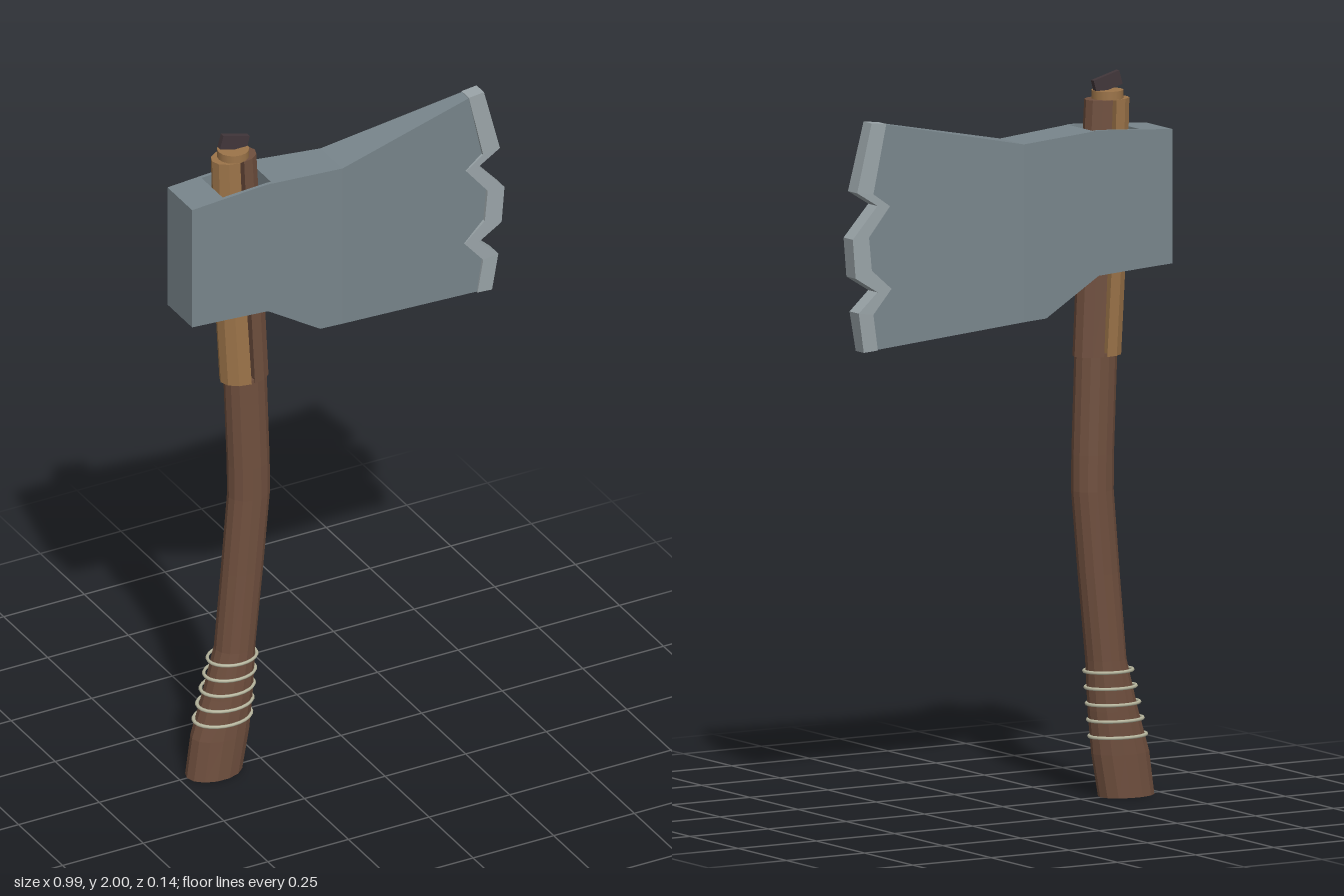
import * as THREE from 'three';

const mat = (name, color) => {
  const m = new THREE.MeshStandardMaterial({ color });
  m.name = name;
  return m;
};

// Closed loft: unit outline in x/z carried through rings [y, centreX, radiusX, radiusZ]
function loft(outline, rings) {
  const pos = [];
  const n = outline.length;
  const at = (r, j) => {
    const [y, cx, rx, rz] = rings[r];
    const p = outline[j % n];
    return [cx + p[0] * rx, y, p[1] * rz];
  };
  const last = rings.length - 1;
  for (let j = 0; j < n; j++) {
    for (let r = 0; r < last; r++) {
      const a = at(r, j), b = at(r, j + 1), c = at(r + 1, j), d = at(r + 1, j + 1);
      pos.push(...a, ...c, ...b, ...b, ...c, ...d);
    }
    if (j > 0 && j < n - 1) {
      pos.push(...at(0, 0), ...at(0, j), ...at(0, j + 1));
      pos.push(...at(last, 0), ...at(last, j + 1), ...at(last, j));
    }
  }
  const g = new THREE.BufferGeometry();
  g.setAttribute('position', new THREE.Float32BufferAttribute(pos, 3));
  g.computeVertexNormals();
  return g;
}

const arc = (from, to, count, closed) => Array.from({ length: count }, (_, i) => {
  const a = from + (to - from) * i / (closed ? count : count - 1);
  return [Math.cos(a), Math.sin(a)];
});

// Flat outline in x/y whose half thickness depends on x and y
function plate(points, half) {
  const shape = new THREE.Shape(points.map(p => new THREE.Vector2(...p)));
  const g = new THREE.ExtrudeGeometry(shape, { depth: 2, bevelEnabled: false });
  g.translate(0, 0, -1);
  const p = g.attributes.position;
  for (let i = 0; i < p.count; i++) p.setZ(i, p.getZ(i) * half(p.getX(i), p.getY(i)));
  g.computeVertexNormals();
  return g;
}

export function createModel() {
  const group = new THREE.Group();
  const darkWood = mat('dark wood', 0x6f4f3e);
  const lightWood = mat('light wood', 0x9c7449);
  const steel = mat('steel', 0x78858b);
  const edgeSteel = mat('sharpened steel', 0x9aa4a8);
  const cord = mat('cord', 0xb9b8a0);
  const iron = mat('dark iron', 0x41363a);
  const add = (name, geometry, material) => {
    const m = new THREE.Mesh(geometry, material);
    m.name = name;
    group.add(m);
    return m;
  };

  // Curved handle
  add('handle', loft(arc(0, Math.PI * 2, 14, true), [
    [0, -0.395, 0.083, 0.058], [0.12, -0.376, 0.086, 0.058], [0.24, -0.352, 0.073, 0.056],
    [0.38, -0.33, 0.058, 0.052], [0.62, -0.307, 0.06, 0.05], [0.85, -0.287, 0.061, 0.05],
    [0.95, -0.288, 0.061, 0.05], [1.23, -0.298, 0.062, 0.049]]), darkWood);

  // Split tongue passing through the head
  add('lightTongue', loft(arc(Math.PI / 2, Math.PI * 1.5, 7), [
    [1.22, -0.304, 0.069, 0.05], [1.45, -0.318, 0.068, 0.049], [1.925, -0.337, 0.063, 0.045]]), lightWood);
  add('darkTongue', loft(arc(-Math.PI / 2, Math.PI / 2, 7), [
    [1.22, -0.294, 0.064, 0.05], [1.45, -0.305, 0.064, 0.049], [1.925, -0.325, 0.058, 0.045]]), darkWood);

  // Cap and wedge on top
  const cap = add('cap', new THREE.CylinderGeometry(0.044, 0.044, 0.024, 16), lightWood);
  cap.position.set(-0.335, 1.936, 0);
  const wedge = add('wedge', new THREE.BoxGeometry(0.085, 0.04, 0.015), iron);
  wedge.position.set(-0.333, 1.969, 0);
  wedge.rotation.z = -0.27;

  // Cord turns around the grip
  for (let i = 0; i < 5; i++) {
    const t = i / 4;
    const ring = add('cordRing', new THREE.TorusGeometry(1, 0.07, 6, 24), cord);
    ring.rotation.x = Math.PI / 2;
    ring.scale.set(0.084 - 0.013 * t, 0.06 - 0.005 * t, 0.07);
    ring.position.set(-0.368 + 0.03 * t, 0.168 + 0.181 * t, 0);
  }

  // Head: poll, two cheeks around the open eye, then the tapering blade
  const thickness = x => x < -0.25 ? 0.07
    : x < -0.03 ? 0.07 - 0.008 * (x + 0.25) / 0.22
      : 0.062 - 0.047 * (x + 0.03) / 0.46;
  add('poll', plate([[-0.5, 1.465], [-0.4, 1.459], [-0.4, 1.842], [-0.5, 1.835]], thickness), steel);
  for (const s of [1, -1]) {
    const cheek = add('cheek', plate(
      [[-0.4, 1.459], [-0.265, 1.45], [-0.25, 1.441], [-0.25, 1.85], [-0.27, 1.85], [-0.4, 1.842]],
      () => 0.005), steel);
    cheek.position.z = s * 0.065;
  }
  add('bladeRoot', plate([[-0.25, 1.441], [-0.1, 1.345], [-0.03, 1.34], [-0.03, 1.83], [-0.25, 1.849]],
    thickness), steel);

  // Chipped cutting edge: inner and outer lines run from top to bottom
  const inner = [[0.385, 1.915], [0.428, 1.725], [0.375, 1.688], [0.442, 1.607],
    [0.433, 1.515], [0.37, 1.46], [0.428, 1.393], [0.412, 1.293]];
  const outer = [[0.432, 1.92], [0.48, 1.732], [0.415, 1.692], [0.494, 1.605],
    [0.485, 1.497], [0.415, 1.454], [0.475, 1.4], [0.457, 1.29]];
  const bladeEnd = inner.map(([x, y]) => [x + 0.01, y]);
  add('blade', plate([[-0.03, 1.83], [-0.03, 1.34], ...bladeEnd.reverse()], thickness), steel);
  for (let i = 0; i < 7; i++) {
    add('cuttingEdge', plate([inner[i], inner[i + 1], outer[i + 1], outer[i]],
      (x, y) => (y > 1.9 || y < 1.3 ? 0.021 : 0.024)), edgeSteel);
  }
  return group;
}
